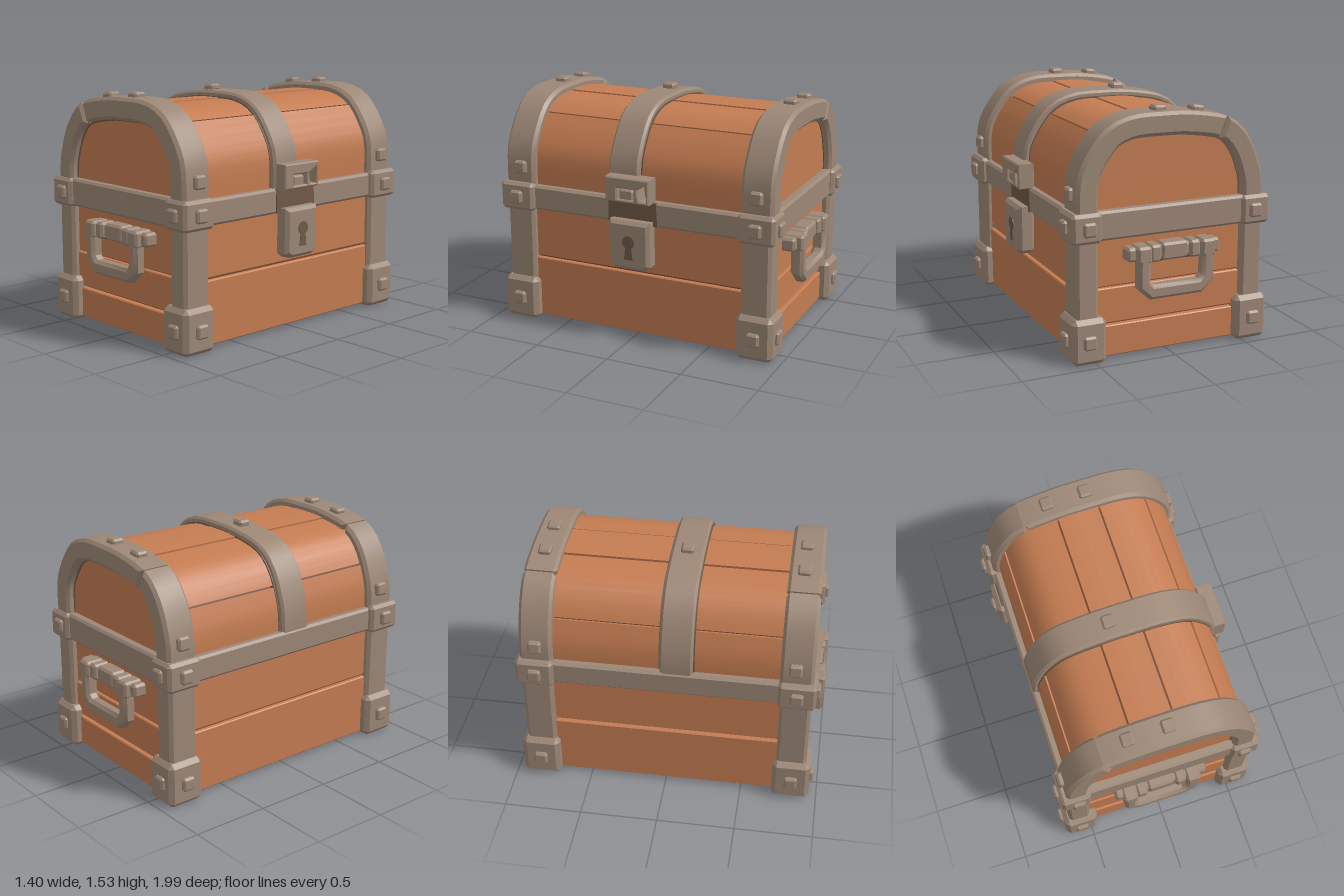
import * as THREE from 'three';
import { toCreasedNormals } from 'three/addons/utils/BufferGeometryUtils.js';
import { ConvexGeometry } from 'three/addons/geometries/ConvexGeometry.js';

function material(name, color) {
  const m = new THREE.MeshStandardMaterial({ color });
  m.name = name;
  return m;
}

export function createModel() {
  const wood = material('wood', 0xc47c52);
  const seam = material('dark wood seam', 0x70452d);
  const metal = material('metal', 0x9c8776);
  const dark = material('worn metal', 0x705a47);
  const chest = new THREE.Group();
  chest.name = 'chest';
  const CX = -0.01;

  function add(name, geometry, mat, parent = chest) {
    const mesh = new THREE.Mesh(geometry, mat);
    mesh.name = name;
    parent.add(mesh);
    return mesh;
  }

  // Box with all edges cut off, given by its min and max corners
  function chamferBox(name, x0, x1, y0, y1, z0, z1, c, mat, parent) {
    const h = [(x1 - x0) / 2, (y1 - y0) / 2, (z1 - z0) / 2];
    const pts = [];
    for (const sx of [-1, 1]) for (const sy of [-1, 1]) for (const sz of [-1, 1])
      for (let k = 0; k < 3; k++) {
        const p = h.map((v, i) => (i === k ? v : v - c));
        pts.push(new THREE.Vector3(sx * p[0], sy * p[1], sz * p[2]));
      }
    const mesh = add(name, new ConvexGeometry(pts), mat, parent);
    mesh.position.set((x0 + x1) / 2, (y0 + y1) / 2, (z0 + z1) / 2);
    return mesh;
  }

  function extrude(shape, z0, z1, bevel = 0) {
    const g = new THREE.ExtrudeGeometry(shape, {
      depth: z1 - z0 - 2 * bevel, bevelEnabled: bevel > 0, bevelSize: bevel,
      bevelThickness: bevel, bevelOffset: -bevel, bevelSegments: 1, curveSegments: 10,
    });
    g.translate(0, 0, z0 + bevel);
    return toCreasedNormals(g, 0.6);
  }
  const polygon = (pts) => new THREE.Shape(pts.map(([x, y]) => new THREE.Vector2(x, y)));

  // Lid arch: the outer line of the straps; everything else is inset from it
  const arch = new THREE.SplineCurve([
    [-0.635, 0.88], [-0.635, 0.98], [-0.62, 1.1], [-0.54, 1.3], [-0.4, 1.435], [-0.15, 1.49], [0.05, 1.5],
    [0.25, 1.495], [0.4, 1.445], [0.5, 1.35], [0.59, 1.2], [0.615, 1.08], [0.615, 0.88],
  ].map(([x, y]) => new THREE.Vector2(x, y)));

  function inset(t, d) {
    const p = arch.getPointAt(t), q = arch.getTangentAt(t);
    return [p.x + q.y * d, p.y - q.x * d];
  }
  function line(t0, t1, d) {
    const n = Math.max(3, Math.round((t1 - t0) * 28));
    return Array.from({ length: n + 1 }, (_, i) => inset(t0 + (t1 - t0) * i / n, d));
  }
  function arc(name, t0, t1, d0, d1, z0, z1, mat, bevel) {
    const ring = [...line(t0, t1, d0), ...line(t0, t1, d1).reverse()];
    return add(name, extrude(polygon(ring), z0, z1, bevel), mat);
  }

  // Lid: dark core showing in the gaps, curved planks and end walls
  add('lidCore', extrude(polygon(line(0, 1, 0.07)), -0.84, 0.84), seam);
  const cuts = [0, 0.168, 0.416, 0.551, 0.727, 1];
  for (let i = 0; i < 5; i++) {
    const a = cuts[i] + (i ? 0.003 : 0), b = cuts[i + 1] - (i < 4 ? 0.003 : 0);
    arc('lidPlank', a, b, 0.043 + (i % 2) * 0.005, 0.085, -0.85, 0.85, wood);
  }
  for (const s of [-1, 1]) {
    const [a, b] = s > 0 ? [0.8, 0.87] : [-0.87, -0.8];
    add('lidEnd', extrude(polygon(line(0, 1, 0.06)), a, b), wood);
    // End straps, split by a crack, with a worn inner rim
    const [z0, z1] = s > 0 ? [0.715, 0.925] : [-0.925, -0.715];
    arc('endStrap', 0, 0.311, 0, 0.14, z0, z1, metal, 0.02);
    arc('endStrap', 0.315, 1, 0, 0.14, z0, z1, metal, 0.02);
    arc('strapRim', 0, 1, 0.1, 0.15, s > 0 ? 0.86 : -0.876, s > 0 ? 0.876 : -0.86, dark);
  }
  arc('middleStrap', 0, 1, 0.004, 0.07, -0.035, 0.175, metal, 0.015);
  arc('middleStrapRim', 0, 1, 0.038, 0.07, -0.043, 0.183, dark);

  // Body: dark core and separate planks
  const block = (name, x0, x1, y0, y1, z0, z1, mat, c = 0.006) =>
    chamferBox(name, x0 + CX, x1 + CX, y0, y1, z0, z1, c, mat);
  block('bodyCore', -0.57, 0.57, 0.035, 0.92, -0.85, 0.85, seam);
  for (const s of [-1, 1]) {
    const side = (name, a, b, ...rest) => block(name, Math.min(s * a, s * b), Math.max(s * a, s * b), ...rest);
    side('sidePlank', 0.5, 0.6, 0.02, 0.425, -0.87, 0.87, wood);
    side('sidePlank', 0.5, 0.59, 0.437, 0.92, -0.87, 0.87, wood);
    const end = (name, x0, x1, y0, y1, a, b, ...rest) =>
      block(name, x0, x1, y0, y1, Math.min(s * a, s * b), Math.max(s * a, s * b), ...rest);
    end('endPlank', -0.58, 0.58, 0.02, 0.215, 0.8, 0.89, wood);
    end('endPlank', -0.58, 0.58, 0.228, 0.45, 0.8, 0.88, wood);
    end('endPlank', -0.58, 0.58, 0.458, 0.92, 0.8, 0.872, wood);
    // Horizontal bands
    end('endBand', -0.52, 0.52, 0.76, 0.94, 0.82, 0.925, metal, 0.015);
    end('endBandRim', -0.5, 0.5, 0.748, 0.8, 0.82, 0.878, dark);
    side('sideBand', 0.5, 0.63, 0.765, 0.925, -0.8, 0.8, metal, 0.015);
  }
  for (let i = 0; i < 3; i++) {
    const w = 1.74 / 3, z = -0.87 + i * w;
    block('bottomPlank', -0.585, 0.585, 0.022, 0.07, z + 0.004, z + w - 0.004, wood);
  }

  // Corner posts, feet and band corners, each with two rivets
  for (const sx of [-1, 1]) for (const sz of [-1, 1]) {
    const corner = (name, xa, xb, y0, y1, za, zb, mat, c) => block(name,
      Math.min(sx * xa, sx * xb), Math.max(sx * xa, sx * xb), y0, y1,
      Math.min(sz * za, sz * zb), Math.max(sz * za, sz * zb), mat, c);
    corner('cornerPost', 0.485, 0.63, 0.2, 0.82, 0.725, 0.92, metal, 0.02);
    corner('foot', 0.44, 0.665, 0.002, 0.29, 0.705, 0.95, metal, 0.028);
    corner('bandCorner', 0.47, 0.665, 0.755, 0.94, 0.71, 0.95, metal, 0.02);
    for (const y of [0.147, 0.847]) {
      corner('endRivet', 0.515, 0.6, y - 0.043, y + 0.043, 0.92, 0.972, metal, 0.012);
      corner('sideRivet', 0.63, 0.692, y - 0.043, y + 0.043, 0.785, 0.87, metal, 0.012);
    }
  }

  // Rivets standing on the lid straps
  function lidRivet(t, z) {
    const [x, y] = inset(t, -0.008), q = arch.getTangentAt(t);
    const r = chamferBox('lidRivet', -0.042, 0.042, -0.022, 0.022, -0.042, 0.042, 0.012, metal);
    r.position.set(x, y, z);
    r.rotation.z = Math.atan2(q.y, q.x);
  }
  for (const z of [-0.82, 0.81]) [0.077, 0.4, 0.522, 0.923].forEach((t) => lidRivet(t, z));
  lidRivet(0.459, 0.07);

  // Carrying handles
  for (const s of [-1, 1]) {
    const handle = new THREE.Group();
    handle.name = 'handle';
    const loop = polygon([
      [-0.265, 0.66], [-0.265, 0.45], [-0.185, 0.375], [0.165, 0.375], [0.245, 0.45], [0.245, 0.66],
      [0.165, 0.66], [0.165, 0.49], [0.14, 0.465], [-0.16, 0.465], [-0.185, 0.49], [-0.185, 0.66],
    ]);
    add('handleLoop', extrude(loop, 0.91, 0.995, 0.02), metal, handle);
    const bar = (name, x0, x1, y0, y1, z1, mat) =>
      chamferBox(name, x0, x1, y0, y1, 0.86, z1, 0.014, mat, handle);
    bar('handleMount', -0.2, 0.19, 0.59, 0.7, 0.925, dark);
    bar('handlePin', -0.32, 0.3, 0.615, 0.7, 0.955, metal);
    for (const x of [-0.225, 0.205]) bar('handleKnuckle', x - 0.047, x + 0.047, 0.605, 0.71, 0.995, metal);
    for (const x of [-0.145, 0.12]) bar('handleBracket', x - 0.035, x + 0.035, 0.605, 0.71, 0.98, metal);
    bar('handleBarrel', -0.1, 0.075, 0.605, 0.712, 0.968, metal);
    if (s < 0) {
      handle.rotation.y = Math.PI;
      handle.position.x = -0.02;
    }
    chest.add(handle);
  }

  // Lock on the left side: shapes are drawn as seen from that side
  const sidePart = (name, shape, x0, x1, mat, bevel) =>
    add(name, extrude(shape, x0, x1, bevel).rotateY(Math.PI / 2), mat);
  sidePart('lockBacking', polygon([[-0.17, 0.77], [0.17, 0.77], [0.16, 0.922], [-0.17, 0.922]]), 0.6, 0.627, dark);
  sidePart('lockBody', polygon([
    [-0.14, 0.8], [-0.14, 0.51], [-0.1, 0.48], [0.1, 0.48], [0.14, 0.51], [0.14, 0.8],
  ]), 0.58, 0.69, metal, 0.022);
  const keyhole = polygon([[-0.018, 0.65], [-0.03, 0.55], [0.03, 0.55], [0.018, 0.65]]);
  sidePart('keyholeSlot', keyhole, 0.686, 0.694, dark);
  sidePart('keyholeTop', new THREE.Shape().absarc(0, 0.665, 0.042, 0, Math.PI * 2), 0.686, 0.695, dark);

  // Hasp with a window and a broken corner
  const hasp = polygon([[-0.16, 0.92], [0.06, 0.92], [0.14, 0.92], [0.14, 1.08], [-0.16, 1.08]]);
  hasp.holes.push(new THREE.Path([[-0.08, 0.94], [0.035, 0.94], [0.035, 1.01], [-0.08, 1.01]]
    .map(([x, y]) => new THREE.Vector2(x, y))));
  hasp.holes.push(new THREE.Path([[0.06, 1.01], [0.12, 1.05], [0.12, 0.94], [0.07, 0.94]]
    .map(([x, y]) => new THREE.Vector2(x, y))));
  sidePart('hasp', hasp, 0.58, 0.69, metal, 0.008);
  chamferBox('staple', 0.6, 0.675, 0.93, 1.0, -0.025, 0.07, 0.01, metal);
  return chest;
}
